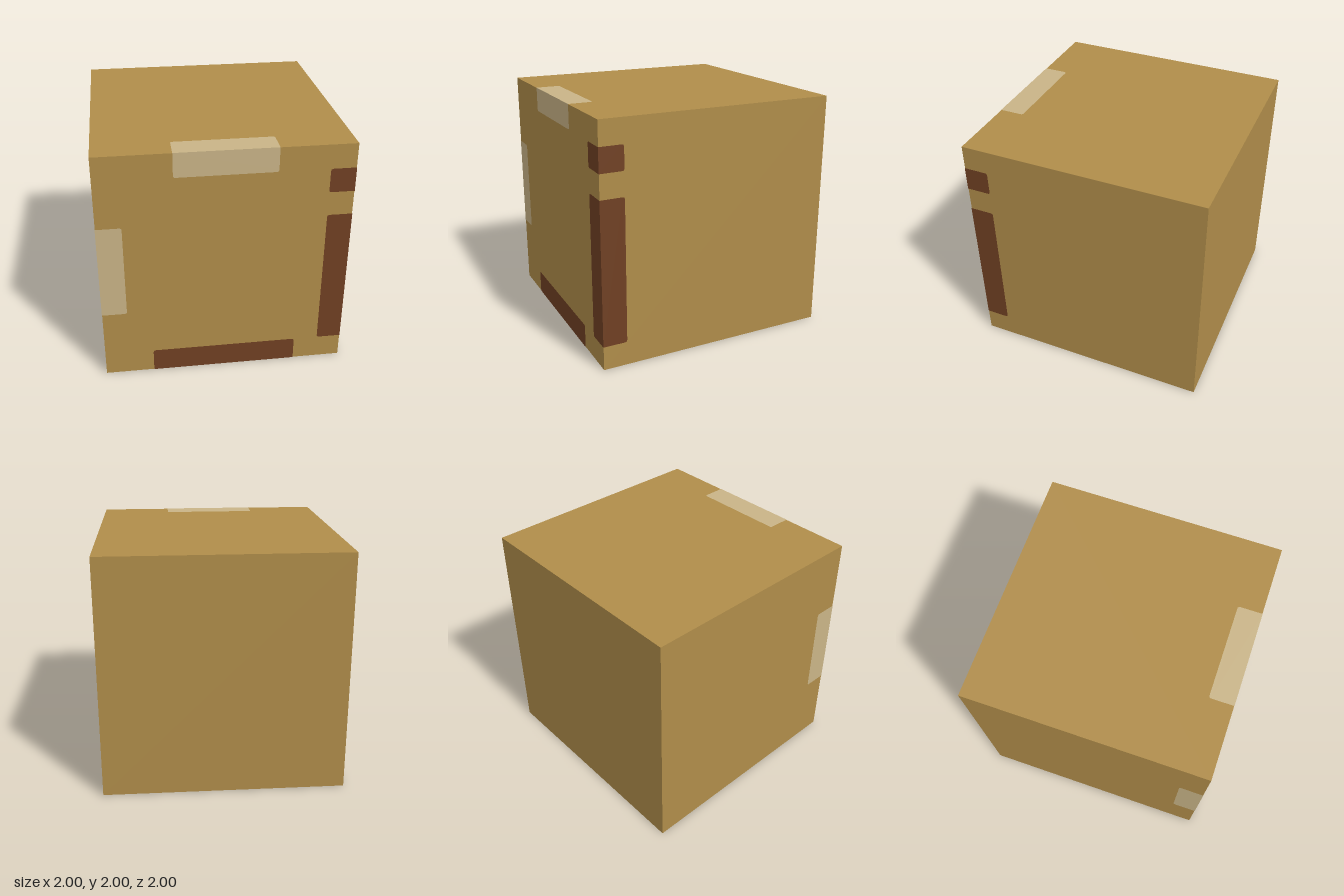
import * as THREE from 'three';

const HALF = 1;      // half the box side
const DEPTH = 0.2;   // how far a strip reaches over each face
const LIFT = 0.002;  // strips sit just proud of the box
const ROUND = 0.02;

export function createModel() {
  const cardboard = new THREE.MeshStandardMaterial({ color: 0xb08d4a });
  cardboard.name = 'cardboard';
  const paleTape = new THREE.MeshStandardMaterial({ color: 0xc9b487 });
  paleTape.name = 'paleTape';
  const brownTape = new THREE.MeshStandardMaterial({ color: 0x704023 });
  brownTape.name = 'brownTape';

  const model = new THREE.Group();
  model.name = 'box';

  const body = new THREE.Mesh(new THREE.BoxGeometry(2 * HALF, 2 * HALF, 2 * HALF), cardboard);
  body.name = 'boxBody';
  body.position.y = HALF;
  model.add(body);

  // Half of a folded strip: straight at the box edge, rounded at the far corners
  function flapGeometry(length, centre) {
    const l = centre - length / 2, r = centre + length / 2;
    const top = HALF + LIFT, bottom = HALF - DEPTH;
    const shape = new THREE.Shape();
    shape.moveTo(r, top);
    shape.lineTo(l, top);
    shape.lineTo(l, bottom + ROUND);
    shape.quadraticCurveTo(l, bottom, l + ROUND, bottom);
    shape.lineTo(r - ROUND, bottom);
    shape.quadraticCurveTo(r, bottom, r, bottom + ROUND);
    shape.closePath();
    return new THREE.ShapeGeometry(shape, 4);
  }

  // Strip folded over one front edge; turn picks the edge (0 = top)
  function addStrip(name, material, turn, length, centre = 0) {
    const strip = new THREE.Group();
    strip.name = name;
    const front = new THREE.Mesh(flapGeometry(length, centre), material);
    front.name = name + 'FrontFlap';
    front.position.z = HALF + LIFT;
    const side = new THREE.Mesh(
      flapGeometry(length, -centre).rotateZ(Math.PI).rotateX(-Math.PI / 2), material);
    side.name = name + 'SideFlap';
    side.position.y = HALF + LIFT;
    strip.add(front, side);
    strip.rotation.z = turn;
    strip.position.y = HALF;
    model.add(strip);
  }

  addStrip('topTape', paleTape, 0, 0.8);
  addStrip('leftEdgeTape', paleTape, Math.PI / 2, 0.8);
  addStrip('bottomTape', brownTape, Math.PI, 1.2);
  addStrip('rightEdgeLongTape', brownTape, -Math.PI / 2, 1.2, 0.2);
  addStrip('rightEdgeShortTape', brownTape, -Math.PI / 2, 0.2, -0.7);

  return model;
}
